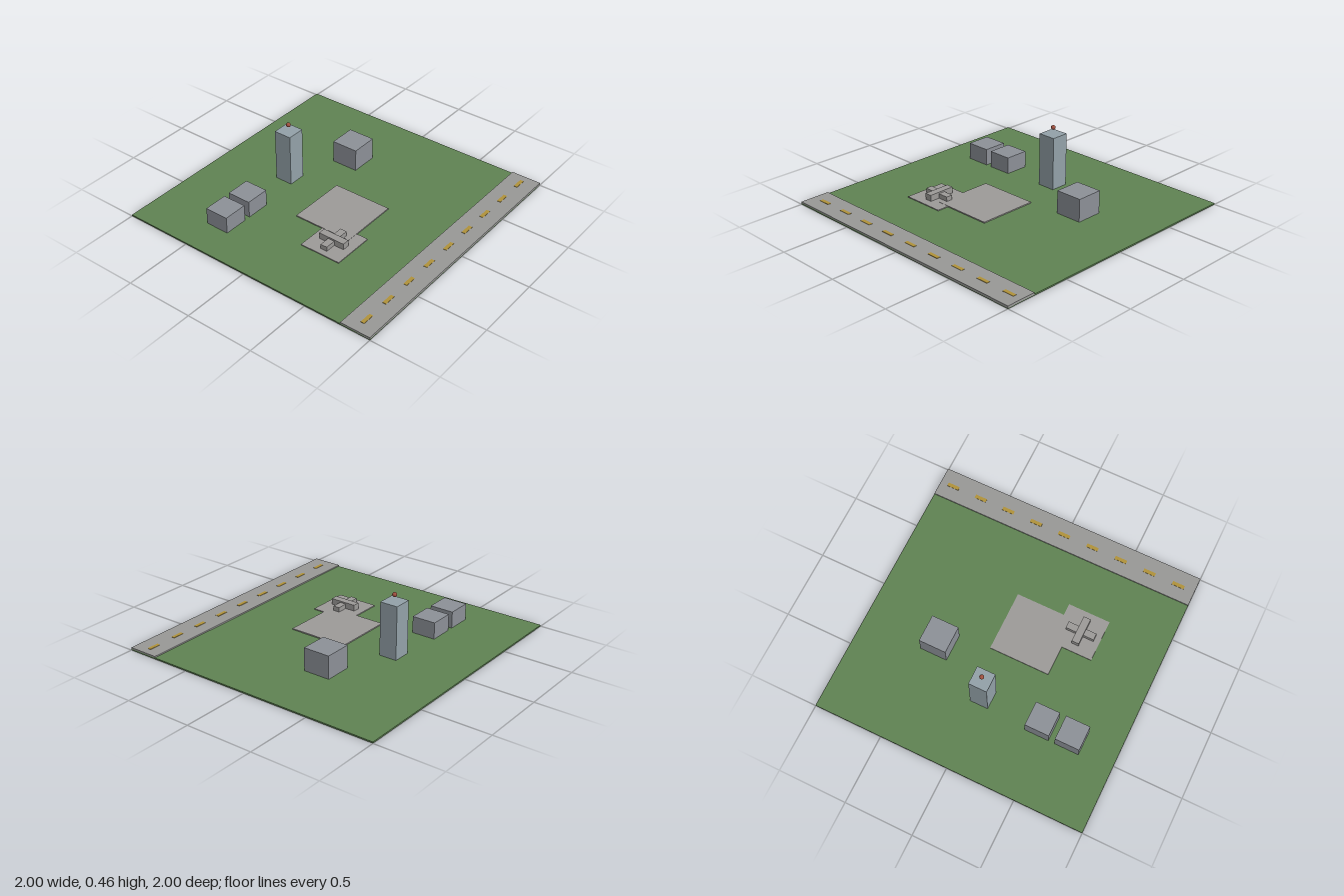
import * as THREE from 'three';

const mat = (color) => new THREE.MeshStandardMaterial({ color });

export function createModel() {
  const model = new THREE.Group();
  const grass = mat(0x5f8352), asphalt = mat(0x989896), pave = mat(0x9c9a98);
  const wall = mat(0x8c9097), glass = mat(0x93a1a8), yellow = mat(0xb0923a), red = mat(0xa0503f);

  // Box given by its centre on the ground plan, its size, and its lower and upper height
  function block(name, material, x, z, w, d, y0, y1, parent = model) {
    const mesh = new THREE.Mesh(new THREE.BoxGeometry(w, y1 - y0, d), material);
    mesh.name = name;
    mesh.position.set(x, (y0 + y1) / 2, z);
    parent.add(mesh);
    return mesh;
  }

  const G = 0.01; // top of the ground

  block('ground', grass, 0, 0, 2, 2, 0, G);

  // Road with dashed centre line
  block('road', asphalt, 0, 0.889, 2, 0.222, 0.005, 0.02);
  for (let i = -4; i <= 4; i++) {
    block('roadDash', yellow, 0.011 + i * 0.2222, 0.887, 0.089, 0.027, 0.018, 0.0225);
  }

  // Overlapping paved areas
  block('mainPad', pave, -0.111, 0.111, 0.444, 0.444, 0.005, 0.018);
  block('sidePad', pave, -0.4, 0.267, 0.311, 0.311, 0.005, 0.0165);

  // Buildings
  block('hangarOuter', wall, -0.667, -0.444, 0.178, 0.178, 0.005, 0.132);
  block('hangarInner', wall, -0.444, -0.444, 0.178, 0.178, 0.005, 0.132);
  block('terminal', wall, 0.444, -0.222, 0.2, 0.2, 0.005, 0.176);

  // Tower with the beacon hovering above it
  block('tower', glass, 0, -0.444, 0.133, 0.133, 0.005, 0.397);
  const beacon = new THREE.Mesh(new THREE.SphereGeometry(0.0165, 16, 12), red);
  beacon.name = 'beacon';
  beacon.position.set(0, 0.443, -0.444);
  model.add(beacon);

  // Parked aircraft
  const aircraft = new THREE.Group();
  aircraft.name = 'aircraft';
  block('fuselage', pave, -0.407, 0.267, 0.053, 0.2, 0.018, 0.063, aircraft);
  block('wings', pave, -0.407, 0.267, 0.211, 0.05, 0.018, 0.052, aircraft);
  model.add(aircraft);

  return model;
}
